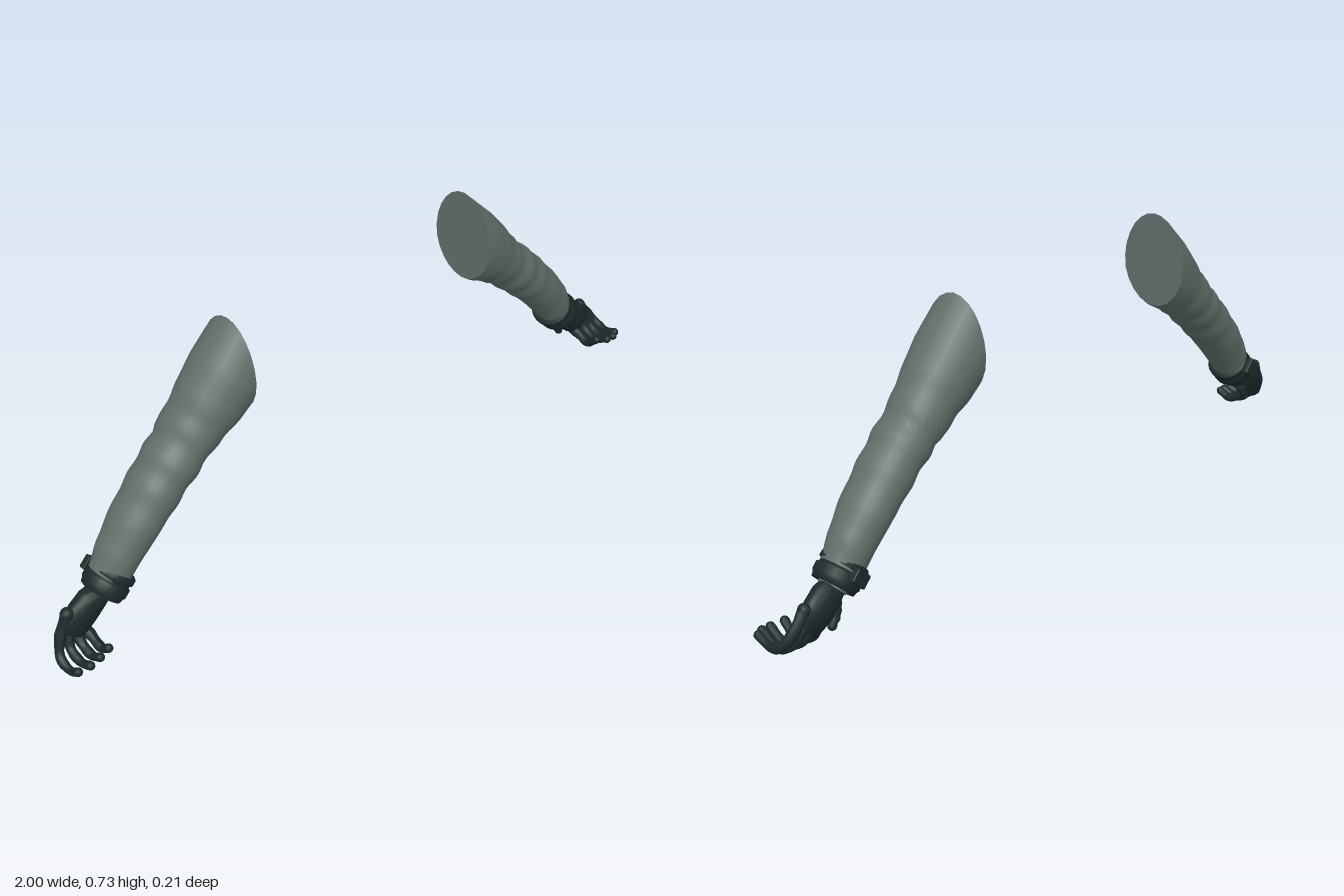
import * as THREE from 'three';
import { RoundedBoxGeometry } from 'three/addons/geometries/RoundedBoxGeometry.js';

const V = (x, y, z) => new THREE.Vector3(x, y, z);
const K = Math.SQRT1_2;
// arm frame: s runs down the arm, t across it (up and outward), z to the front
const P = (s, t, z) => V((s + t) * K, (t - s) * K, z);
const frame = (s, t, z) => new THREE.Matrix4()
  .makeBasis(V(K, K, 0), V(K, -K, 0), V(0, 0, -1)).setPosition(P(s, t, z));

// linear lookup in rows [s, ...values]
function lookup(rows, s) {
  if (s <= rows[0][0]) return rows[0];
  for (let i = 1; i < rows.length; i++) {
    if (s <= rows[i][0]) {
      const a = rows[i - 1], b = rows[i], f = (s - a[0]) / (b[0] - a[0]);
      const e = f * f * (3 - 2 * f) * 0.5 + f * 0.5;
      return a.map((v, k) => v + (b[k] - v) * e);
    }
  }
  return rows[rows.length - 1];
}

// closed-ring loft of point(rowIndex, angle)
function loft(rows, cols, point) {
  const pos = [], idx = [];
  for (let i = 0; i < rows; i++) {
    for (let j = 0; j < cols; j++) pos.push(...point(i, j / cols * Math.PI * 2).toArray());
  }
  for (let i = 0; i < rows - 1; i++) {
    for (let j = 0; j < cols; j++) {
      const a = i * cols + j, b = i * cols + (j + 1) % cols;
      idx.push(a, b, a + cols, b, b + cols, a + cols);
    }
  }
  const g = new THREE.BufferGeometry();
  g.setAttribute('position', new THREE.Float32BufferAttribute(pos, 3));
  g.setIndex(idx);
  g.computeVertexNormals();
  return g;
}

// radius across, radius front to back, centre t
const SLEEVE = [
  [-0.24, 0.096, 0.092, 0.703], [-0.12, 0.096, 0.097, 0.703], [-0.05, 0.09, 0.091, 0.704],
  [0.02, 0.076, 0.081, 0.708], [0.07, 0.068, 0.077, 0.711], [0.17, 0.066, 0.076, 0.716],
  [0.30, 0.061, 0.071, 0.714], [0.38, 0.058, 0.061, 0.706], [0.445, 0.053, 0.053, 0.694]];

function sleevePoint(s, a) {
  const [, rt, rz, c] = lookup(SLEEVE, s);
  // soft folds round the elbow, and one sharp crease at the back
  const fade = Math.max(0, 1 - Math.abs(s - 0.13) / 0.17);
  let bump = 0.003 * fade * Math.cos((s - 0.04) * Math.PI * 2 / 0.085);
  if (s < 0.08) {
    bump += 0.006 * Math.max(0, 1 - (0.08 - s) / 0.08) * Math.min(1, Math.max(0, 0.3 - Math.sin(a) * 1.2));
  }
  return P(s, c + (rt + bump) * Math.cos(a), -0.011 + (rz + bump) * Math.sin(a));
}
const CUT = 0.397;
function cutStart(a) {
  let s = -0.15;
  for (let k = 0; k < 30; k++) s += (CUT - sleevePoint(s, a).x) * 1.2;
  return s;
}
function sleeveGeometry() {
  return loft(80, 24, (i, a) => {
    const s0 = cutStart(a);
    return sleevePoint(s0 + (0.445 - s0) * i / 79, a);
  });
}
// flat vertical face closing the upper arm
function cutGeometry() {
  return loft(2, 24, (i, a) => i ? sleevePoint(cutStart(a), a) : V(CUT, 0.602, -0.011));
}

const PALM = [
  [0.484, 0.026, 0.024, 0.69, -0.012], [0.486, 0.033, 0.03, 0.69, -0.012],
  [0.51, 0.041, 0.033, 0.698, -0.013], [0.55, 0.047, 0.031, 0.70, -0.015],
  [0.585, 0.047, 0.024, 0.702, -0.013], [0.61, 0.039, 0.017, 0.702, -0.01], [0.62, 0.001, 0.001, 0.702, -0.01]];
const palmGeometry = () => loft(PALM.length, 18, (i, a) => {
  const [s, rt, rz, t, z] = PALM[i];
  return P(s, t + rt * Math.cos(a), z + rz * Math.sin(a));
});

// two-ridged wrist cuff
function cuffGeometry() {
  const profile = [[0.04, 0.42], [0.056, 0.421], [0.06, 0.426], [0.06, 0.438], [0.054, 0.442], [0.054, 0.449],
    [0.06, 0.453], [0.06, 0.472], [0.056, 0.478], [0.054, 0.488], [0.046, 0.489], [0.044, 0.47]]
    .map(([r, s]) => new THREE.Vector2(r, s));
  const g = new THREE.LatheGeometry(profile, 24);
  g.scale(0.98, 1, 1.03);
  return g.applyMatrix4(frame(0, 0.689, -0.009));
}

// tapered round-tipped finger along points
function fingerGeometries(points, r0, r1) {
  const curve = new THREE.CatmullRomCurve3(points), seg = 20, sides = 10;
  const tube = new THREE.TubeGeometry(curve, seg, 1, sides), pos = tube.attributes.position;
  for (let i = 0; i <= seg; i++) {
    const u = i / seg, c = curve.getPointAt(u);
    const r = r0 + (r1 - r0) * u + 0.001 * Math.cos(u * Math.PI * 6);
    for (let j = 0; j <= sides; j++) {
      const k = i * (sides + 1) + j;
      const p = V().fromBufferAttribute(pos, k).sub(c).multiplyScalar(r).add(c);
      pos.setXYZ(k, p.x, p.y, p.z);
    }
  }
  const tip = new THREE.SphereGeometry(r1 + 0.001, 10, 8).translate(...points.at(-1).toArray());
  const knuckle = new THREE.SphereGeometry(r0 * 1.15, 10, 8).translate(...points[0].toArray());
  return [tube, tip, knuckle];
}

// base x, base y, curl x, lowest y, tip y, tip z
const LEFT_FINGERS = [
  [0.927, 0.122, 0.984, 0.032, 0.046, 0.086], [0.919, 0.103, 0.964, 0.022, 0.046, 0.096],
  [0.905, 0.086, 0.94, 0.021, 0.046, 0.094], [0.888, 0.074, 0.908, 0.023, 0.052, 0.08]];
const RIGHT_FINGERS = [
  [0.93, 0.128, 0.975, 0.012, 0.027, 0.072], [0.92, 0.105, 0.943, 0.018, 0.03, 0.078],
  [0.905, 0.086, 0.912, 0.02, 0.035, 0.076], [0.888, 0.074, 0.882, 0.024, 0.04, 0.07]];

function mirrorX(g) {
  g.scale(-1, 1, 1);
  const ix = g.index;
  for (let i = 0; i < ix.count; i += 3) {
    const b = ix.getX(i + 1);
    ix.setX(i + 1, ix.getX(i + 2));
    ix.setX(i + 2, b);
  }
  g.computeVertexNormals();
  return g;
}

function buildArm(name, mirrored, fingers, cloth, glove) {
  const arm = new THREE.Group();
  arm.name = name;
  const add = (g, mat, part) => {
    if (!g.index) g.setIndex([...Array(g.attributes.position.count).keys()]);
    const mesh = new THREE.Mesh(mirrored ? mirrorX(g) : g, mat);
    mesh.name = part;
    arm.add(mesh);
  };
  add(sleeveGeometry(), cloth, 'sleeve');
  add(cutGeometry(), cloth, 'upperArmEnd');
  add(new THREE.CylinderGeometry(0.036, 0.046, 0.07, 20).applyMatrix4(frame(0.458, 0.689, -0.01)), cloth, 'wrist');
  add(cuffGeometry(), glove, 'cuff');
  add(new RoundedBoxGeometry(0.05, 0.036, 0.018, 2, 0.004).applyMatrix4(frame(0.449, 0.694, -0.074)), glove, 'cuffBuckle');
  add(palmGeometry(), glove, 'palm');
  // curled fingers
  fingers.forEach(([bx, by, cx, low, ty, tz]) => {
    const path = [V(bx, by, -0.014), V(bx + (cx - bx) * 0.65, by + (low - by) * 0.5, -0.012),
      V(cx, low + 0.013, 0.006), V(cx, low, 0.045), V(cx - 0.003, ty, tz)];
    fingerGeometries(path, 0.0155, 0.0105).forEach(g => add(g, glove, 'finger'));
  });
  const thumb = [V(0.842, 0.105, -0.022), V(0.845, 0.08, -0.027), V(0.858, 0.055, -0.028)];
  fingerGeometries(thumb, 0.016, 0.0105).forEach(g => add(g, glove, 'thumb'));
  return arm;
}

export function createModel() {
  const cloth = new THREE.MeshStandardMaterial({ color: 0x5f6d69 });
  cloth.name = 'greyGreenCloth';
  const glove = new THREE.MeshStandardMaterial({ color: 0x1c2a2a });
  glove.name = 'darkGlove';
  const model = new THREE.Group();
  model.name = 'armsWithGloves';
  const left = buildArm('leftArm', false, LEFT_FINGERS, cloth, glove);
  const right = buildArm('rightArm', true, RIGHT_FINGERS, cloth, glove);
  right.position.x = -0.012;
  model.add(left, right);
  return model;
}
